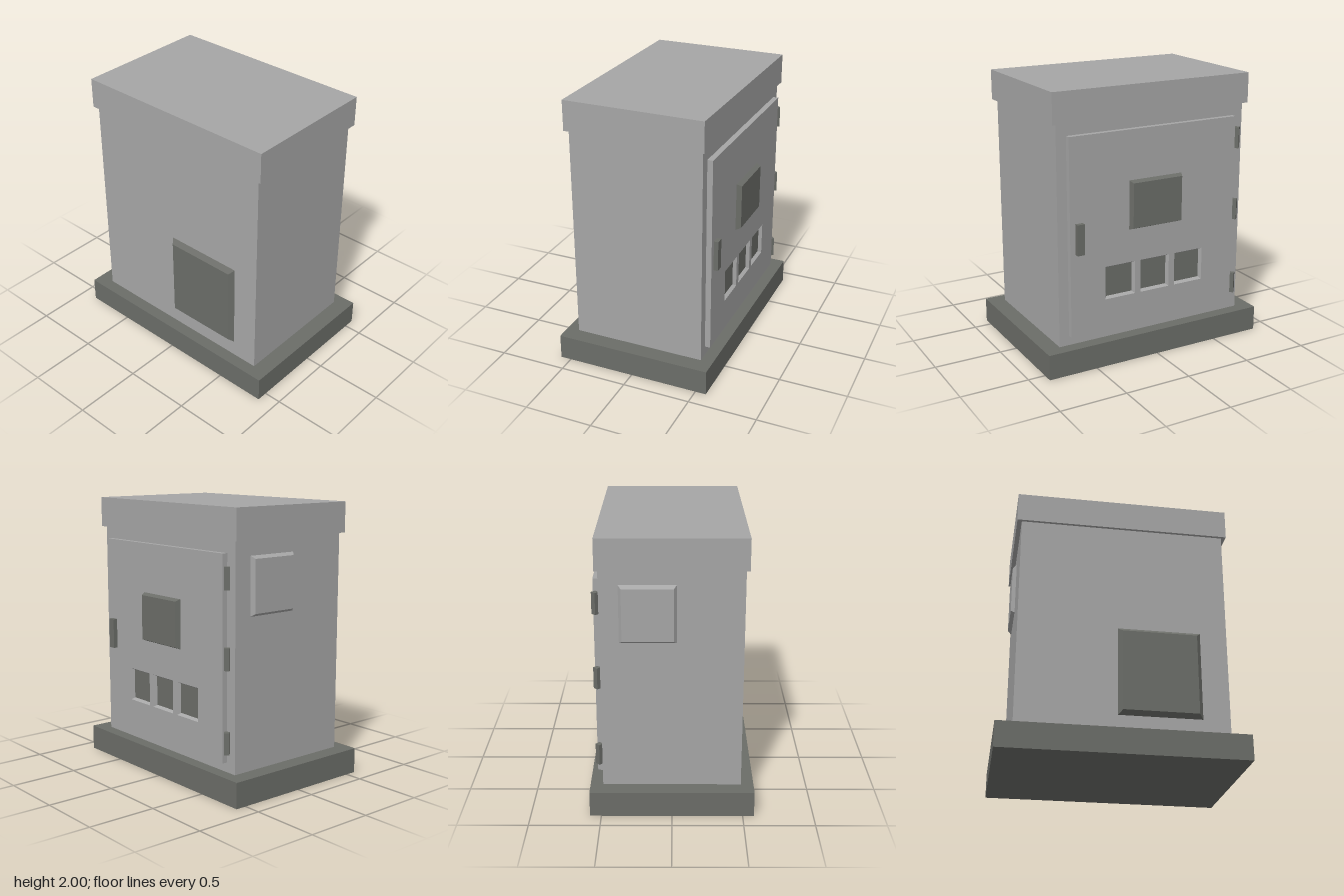
import * as THREE from 'three';

const lightGrey = new THREE.MeshStandardMaterial({ name: 'light grey', color: 0xa6a6a6 });
const darkGrey = new THREE.MeshStandardMaterial({ name: 'dark grey', color: 0x6b6d68 });

function add(parent, name, geometry, material) {
  const mesh = new THREE.Mesh(geometry, material);
  mesh.name = name;
  parent.add(mesh);
  return mesh;
}

// Box given by its lower and upper corners
function box(parent, name, material, [x0, y0, z0], [x1, y1, z1]) {
  const mesh = add(parent, name, new THREE.BoxGeometry(x1 - x0, y1 - y0, z1 - z0), material);
  mesh.position.set((x0 + x1) / 2, (y0 + y1) / 2, (z0 + z1) / 2);
  return mesh;
}

// Bevelled panel facing +z: raised for depth > 0, recessed for depth < 0.
// Group 0 is the four bevels, group 1 the flat face.
function bevelPanel(width, height, inset, depth) {
  const loop = (w, h, z) => [[-w, -h, z], [w, -h, z], [w, h, z], [-w, h, z]];
  const outer = loop(width / 2, height / 2, 0);
  const inner = loop(width / 2 - inset, height / 2 - inset, depth);
  const points = [];
  const quad = (a, b, c, d) => points.push(...a, ...b, ...c, ...a, ...c, ...d);
  for (let i = 0; i < 4; i++) {
    const j = (i + 1) % 4;
    quad(outer[i], outer[j], inner[j], inner[i]);
  }
  quad(...inner);
  const geometry = new THREE.BufferGeometry();
  geometry.setAttribute('position', new THREE.Float32BufferAttribute(points, 3));
  geometry.computeVertexNormals();
  geometry.addGroup(0, 24, 0);
  geometry.addGroup(24, 6, 1);
  return geometry;
}

export function createModel() {
  const model = new THREE.Group();
  model.name = 'electricalCabinet';

  // Plinth, body and overhanging roof
  box(model, 'plinth', darkGrey, [-0.58, 0, -0.873], [0.58, 0.185, 0.873]);
  box(model, 'body', lightGrey, [-0.49, 0.185, -0.75], [0.49, 1.785, 0.75]);
  box(model, 'roof', lightGrey, [-0.512, 1.78, -0.783], [0.512, 2, 0.783]);

  // Door on the +x side, drawn facing +z and then turned; local x = -z of the model
  const door = new THREE.Group();
  door.name = 'door';
  door.rotation.y = Math.PI / 2;
  model.add(door);
  const front = 0.53, windowY = 0.613, windowW = 0.238, windowH = 0.245;
  const windowXs = [-0.284, -0.001, 0.284];

  const outline = new THREE.Shape();
  outline.moveTo(-0.675, 0.255).lineTo(0.667, 0.255).lineTo(0.667, 1.695).lineTo(-0.675, 1.695);
  for (const x of windowXs) {
    const w = windowW / 2, h = windowH / 2;
    const hole = new THREE.Path();
    hole.moveTo(x - w, windowY - h).lineTo(x - w, windowY + h);
    hole.lineTo(x + w, windowY + h).lineTo(x + w, windowY - h);
    outline.holes.push(hole);
  }
  const leaf = new THREE.ExtrudeGeometry(outline, { depth: 0.04, bevelEnabled: false });
  add(door, 'doorLeaf', leaf, lightGrey).position.z = front - 0.04;

  // Recessed meter windows with light bevels
  for (const x of windowXs) {
    const pane = bevelPanel(windowW, windowH, 0.014, -0.025);
    add(door, 'meterWindow', pane, [lightGrey, darkGrey]).position.set(x, windowY, front);
  }

  // Raised display
  const display = bevelPanel(0.425, 0.358, 0.015, 0.036);
  add(door, 'display', display, [darkGrey, darkGrey]).position.set(-0.001, 1.157, front);

  // Handle
  box(door, 'handle', darkGrey, [-0.635, 0.865, front], [-0.578, 1.087, 0.562]);

  // Hinge knuckles
  for (const y of [0.402, 0.988, 1.532]) {
    const knuckle = new THREE.CylinderGeometry(0.027, 0.027, 0.155, 4).toNonIndexed();
    knuckle.computeVertexNormals();
    add(door, 'hinge', knuckle, darkGrey).position.set(0.694, y, 0.514);
  }

  // Dark service hatch on the -x side
  const hatch = add(model, 'serviceHatch', bevelPanel(0.595, 0.655, 0.03, 0.035), [darkGrey, darkGrey]);
  hatch.position.set(-0.49, 0.634, 0.258);
  hatch.rotation.y = -Math.PI / 2;

  // Light cover plate on the back
  const cover = add(model, 'rearCover', bevelPanel(0.39, 0.41, 0.02, 0.028), [lightGrey, lightGrey]);
  cover.position.set(0.163, 1.47, -0.75);
  cover.rotation.y = Math.PI;

  return model;
}
